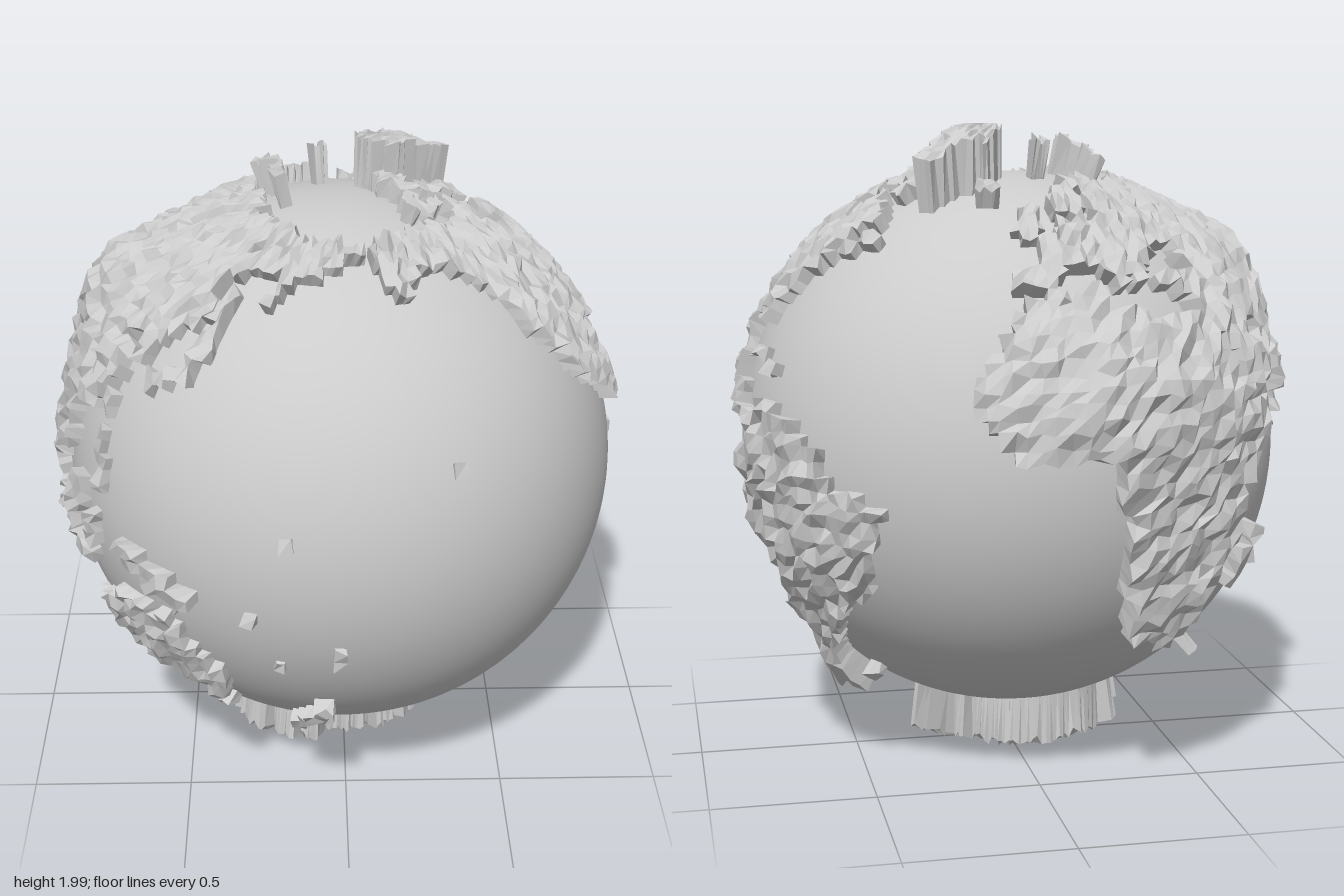
import * as THREE from 'three';

const R = 0.85, STEP = 2.5;
const CENTRE = new THREE.Vector3(-0.01, 1.0, 0.055);

// Coastlines as [longitude, latitude, ...] in degrees
const AFRICA = [-17, 15, -16, 22, -10, 30, -6, 36, 10, 37, 11, 33, 20, 31, 33, 31, 37, 21, 43, 12, 51, 12, 47, 4,
  40, -4, 40, -15, 35, -20, 33, -27, 27, -34, 18, -34, 12, -18, 13, -8, 9, 0, 9, 4, 4, 6, -8, 4, -13, 8];
const EUROPE = [-9, 37, -9, 43, -1, 44, -4, 48, 4, 52, 8, 57, 10, 54, 20, 55, 23, 59, 29, 60, 22, 60, 25, 65, 21, 64,
  17, 61, 18, 59, 15, 56, 12, 56, 10, 59, 6, 58, 5, 62, 14, 68, 26, 71, 40, 67, 45, 68, 45, 47, 38, 47, 31, 46, 28, 43,
  24, 40, 23, 37, 19, 41, 13, 45, 18, 40, 16, 38, 11, 43, 7, 43, 3, 42, -2, 37];
const ASIA = [45, 68, 60, 69, 68, 69, 73, 73, 80, 73, 100, 76, 112, 76, 113, 74, 130, 72, 140, 73, 160, 70, 178, 69,
  190, 66, 178, 63, 170, 60, 163, 59, 161, 56, 156, 51, 156, 58, 162, 61, 155, 59, 142, 59, 136, 54, 141, 52, 140, 47,
  131, 43, 127, 39, 129, 35, 126, 35, 125, 39, 121, 40, 118, 39, 122, 37, 120, 34, 122, 30, 117, 23, 108, 21, 109, 12,
  105, 9, 100, 13, 104, 2, 98, 8, 97, 17, 94, 16, 91, 22, 87, 21, 80, 14, 77, 8, 73, 18, 70, 22, 66, 25, 57, 26,
  48, 30, 51, 25, 56, 25, 60, 22, 53, 16, 44, 13, 39, 21, 35, 28, 34, 31, 36, 36, 27, 37, 26, 40, 41, 41, 38, 45, 45, 47];
const NORTH_AMERICA = [-168, 66, -156, 71, -140, 70, -128, 70, -115, 68, -95, 68, -94, 72, -86, 69, -82, 68, -87, 65,
  -94, 60, -92, 57, -82, 55, -80, 51, -78, 62, -70, 61, -65, 59, -56, 53, -66, 50, -60, 46, -66, 44, -70, 42, -75, 38,
  -76, 35, -81, 31, -80, 25, -83, 29, -90, 30, -97, 27, -97, 21, -94, 18, -91, 19, -87, 21, -87, 16, -83, 15, -82, 10,
  -77, 10, -78, 7, -86, 10, -94, 15, -105, 20, -113, 31, -109, 23, -117, 32, -124, 40, -124, 48, -133, 56, -140, 60,
  -150, 60, -160, 55, -165, 60];
const SOUTH_AMERICA = [-78, 8, -72, 12, -62, 11, -51, 4, -50, 0, -44, -2, -35, -6, -39, -14, -41, -22, -48, -27,
  -54, -34, -58, -38, -65, -42, -67, -47, -67, -54, -74, -53, -75, -46, -73, -38, -71, -30, -70, -18, -76, -14,
  -81, -5, -80, 1, -77, 4];
const GREENLAND = [-72, 78, -60, 82, -32, 83, -18, 80, -20, 74, -24, 70, -32, 68, -40, 65, -43, 60, -50, 61, -54, 67,
  -55, 71, -60, 76];
const AUSTRALIA = [114, -22, 122, -18, 130, -12, 136, -12, 140, -17, 142, -11, 146, -19, 153, -26, 150, -37, 140, -38,
  136, -33, 130, -32, 122, -34, 115, -34];
const ANTARCTICA = [-180, -90, -180, -78, -155, -77, -130, -74, -100, -72, -76, -72, -66, -67, -58, -63, -60, -70,
  -62, -75, -35, -78, -10, -71, 30, -69, 55, -66, 75, -69, 95, -66, 135, -66, 165, -71, 165, -78, 180, -78, 180, -90];

// Islands as strokes: [lon, lat, lon, lat, half width, height]
const NORTH_ISLANDS = [
  [131, 32, 139, 36, 1.5, 0.04], [140, 37, 143, 44, 1.4, 0.04], [143, 47, 143, 53, 1.2, 0.04], // Japan, Sakhalin
  [-4, 51, -4, 58, 1.7, 0.04], [-8, 53, -8, 54, 1.4, 0.04], [-22, 65, -16, 65, 1.5, 0.06], // British Isles, Iceland
  [-84, 22, -76, 20, 1.2, 0.03], [-73, 19, -68, 18.5, 1.3, 0.03], [-57, 48, -55, 49, 1.8, 0.04], // Caribbean, east coast
  [-66, 65, -80, 72, 2.4, 0.05], [-116, 71, -106, 71, 2, 0.05], [-95, 77, -70, 81, 2, 0.06], [-123, 73, -110, 76, 1.5, 0.05],
  [16, 78, 24, 79.5, 1, 0.12], [54, 72, 65, 76, 1, 0.11], [97, 79, 103, 79, 1, 0.12], // Arctic spikes
  [121, 18, 125, 7, 1.4, 0.03], [121, 24, 121, 25, 1.3, 0.03], [81, 7, 81, 8, 1.3, 0.04],
  [-156, 20, -155, 21, 1.1, 0.01], [168, 8, 169, 9, 1.1, 0.01]];
const SOUTH_ISLANDS = [
  [133, -2, 147, -7, 2.4, 0.05], [111, -2, 116, 5, 3, 0.05], [96, 4, 105, -5, 1.7, 0.04], [106, -7, 118, -8.5, 1.2, 0.04],
  [120, -4, 122, 1, 1.5, 0.04], [45, -24, 49, -14, 1.6, 0.06], [168, -46, 173, -41, 1.4, 0.04], [175, -41, 175, -37, 1.3, 0.04],
  [146, -42, 147, -42, 1.6, 0.04], [69, -49, 70, -49, 1.3, 0.07], [-60, -52, -58, -52, 1.2, 0.04],
  [165, -21, 166, -22, 1.1, 0.01], [178, -18, 179, -17, 1.1, 0.01], [160, -9, 162, -10, 1.1, 0.02]];

const hash = (a, b, c) => {
  const s = Math.sin(a * 127.1 + b * 311.7 + c * 74.7) * 43758.5453;
  return s - Math.floor(s);
};
const bump = (v, mid, width) => Math.exp(-(((v - mid) / width) ** 2));

// Point on the unit globe; longitude 180 faces the front
function normalAt(lon, lat) {
  const a = THREE.MathUtils.degToRad(lon), b = THREE.MathUtils.degToRad(lat);
  return new THREE.Vector3(-Math.cos(b) * Math.sin(a), Math.sin(b), -Math.cos(b) * Math.cos(a));
}

function insideOutline(p, x, y) {
  let inside = false;
  for (let i = 0, j = p.length - 2; i < p.length; j = i, i += 2) {
    if ((p[i + 1] > y) !== (p[j + 1] > y) &&
      x < (p[j] - p[i]) * (y - p[i + 1]) / (p[j + 1] - p[i + 1]) + p[i]) inside = !inside;
  }
  return inside;
}

function insideStroke([x1, y1, x2, y2, w], x, y) {
  const k = Math.cos(THREE.MathUtils.degToRad(y));
  const dx = (x2 - x1) * k, dy = y2 - y1, px = (x - x1) * k, py = y - y1;
  const t = THREE.MathUtils.clamp((px * dx + py * dy) / (dx * dx + dy * dy), 0, 1);
  return Math.hypot(px - t * dx, py - t * dy) < w;
}

// Raise every grid cell covered by the mask, with jagged tops and side walls
function landMesh(name, covers, height, material, vertical = false) {
  const pos = [];
  const cell = (i, j) => j >= -36 && j < 36 && covers((i + 0.5) * STEP, (j + 0.5) * STEP);
  const base = (i, j) => normalAt(i * STEP, j * STEP).multiplyScalar(R * 0.99);
  const top = (i, j) => {
    const k = (i + 144) % 144; // the same jitter where the grid wraps round
    const lon = i * STEP + (hash(k, j, 1) - 0.5) * 1.5;
    const lat = j * STEP + (Math.abs(j) === 36 ? 0 : (hash(k, j, 2) - 0.5) * 1.5);
    const h = height(i * STEP, j * STEP) + (hash(k, j, 3) - 0.5) * 0.034;
    const n = normalAt(lon, lat);
    if (!vertical) return n.multiplyScalar(R + Math.max(h, 0.006));
    const p = n.clone().multiplyScalar(R);
    p.x *= 1.04;
    p.z *= 1.04;
    p.y = THREE.MathUtils.clamp(p.y + Math.sign(n.y) * h, -0.99, 1.0);
    return p;
  };
  const quad = (a, b, c, d) => [a, b, c, a, c, d].forEach(v => pos.push(v.x, v.y, v.z));
  for (let j = -36; j < 36; j++) for (let i = -72; i < 80; i++) {
    if (!cell(i, j)) continue;
    const ring = [[i, j], [i + 1, j], [i + 1, j + 1], [i, j + 1]];
    quad(...ring.map(c => top(...c)));
    [[i, j - 1], [i + 1, j], [i, j + 1], [i - 1, j]].forEach((next, e) => {
      if (cell(...next)) return;
      const a = ring[e], b = ring[(e + 1) % 4];
      quad(base(...a), base(...b), top(...b), top(...a));
    });
  }
  const g = new THREE.BufferGeometry();
  g.setAttribute('position', new THREE.Float32BufferAttribute(pos, 3));
  g.computeVertexNormals();
  const mesh = new THREE.Mesh(g, material);
  mesh.name = name;
  return mesh;
}

export function createModel() {
  const globe = new THREE.Group();
  globe.name = 'reliefGlobe';
  globe.position.copy(CENTRE);
  const smooth = new THREE.MeshStandardMaterial({ color: 0xcccccc });
  const rough = new THREE.MeshStandardMaterial({ color: 0xcccccc, flatShading: true });

  const ocean = new THREE.Mesh(new THREE.SphereGeometry(R, 128, 64), smooth);
  ocean.name = 'oceanSphere';
  globe.add(ocean);

  // Continents: high in Africa and the central Asian ranges, lower in the Americas
  const oldWorld = (lon, lat) => 0.045 + 0.075 * bump(lat, 40, 13) * bump(lon, 85, 22)
    + 0.075 * bump(lat, 18, 17) * bump(lon, 18, 38) + 0.04 * bump(lat, -28, 14) * bump(lon, 25, 25);
  const southAmerica = (lon, lat) => 0.04 + 0.06 * THREE.MathUtils.smoothstep(-lat, 35, 53);
  const within = (...outlines) => (x, y) => outlines.some(p => insideOutline(p, x, y));
  globe.add(
    landMesh('africaEuropeAsia', within(AFRICA, EUROPE, ASIA), oldWorld, rough),
    landMesh('northAmerica', within(NORTH_AMERICA), () => 0.043, rough),
    landMesh('southAmerica', within(SOUTH_AMERICA), southAmerica, rough),
    landMesh('australia', within(AUSTRALIA), () => 0.035, rough),
    landMesh('greenland', within(GREENLAND), () => 0.16, rough, true),
    landMesh('antarctica', within(ANTARCTICA), () => 0.14, rough, true));

  // Islands
  for (const [name, list] of [['northernIsland', NORTH_ISLANDS], ['southernIsland', SOUTH_ISLANDS]]) {
    list.forEach((s, n) => globe.add(
      landMesh(name + (n + 1), (x, y) => x < 180 && insideStroke(s, x, y), () => s[5], rough)));
  }

  const model = new THREE.Group();
  model.name = 'model';
  model.add(globe);
  return model;
}
